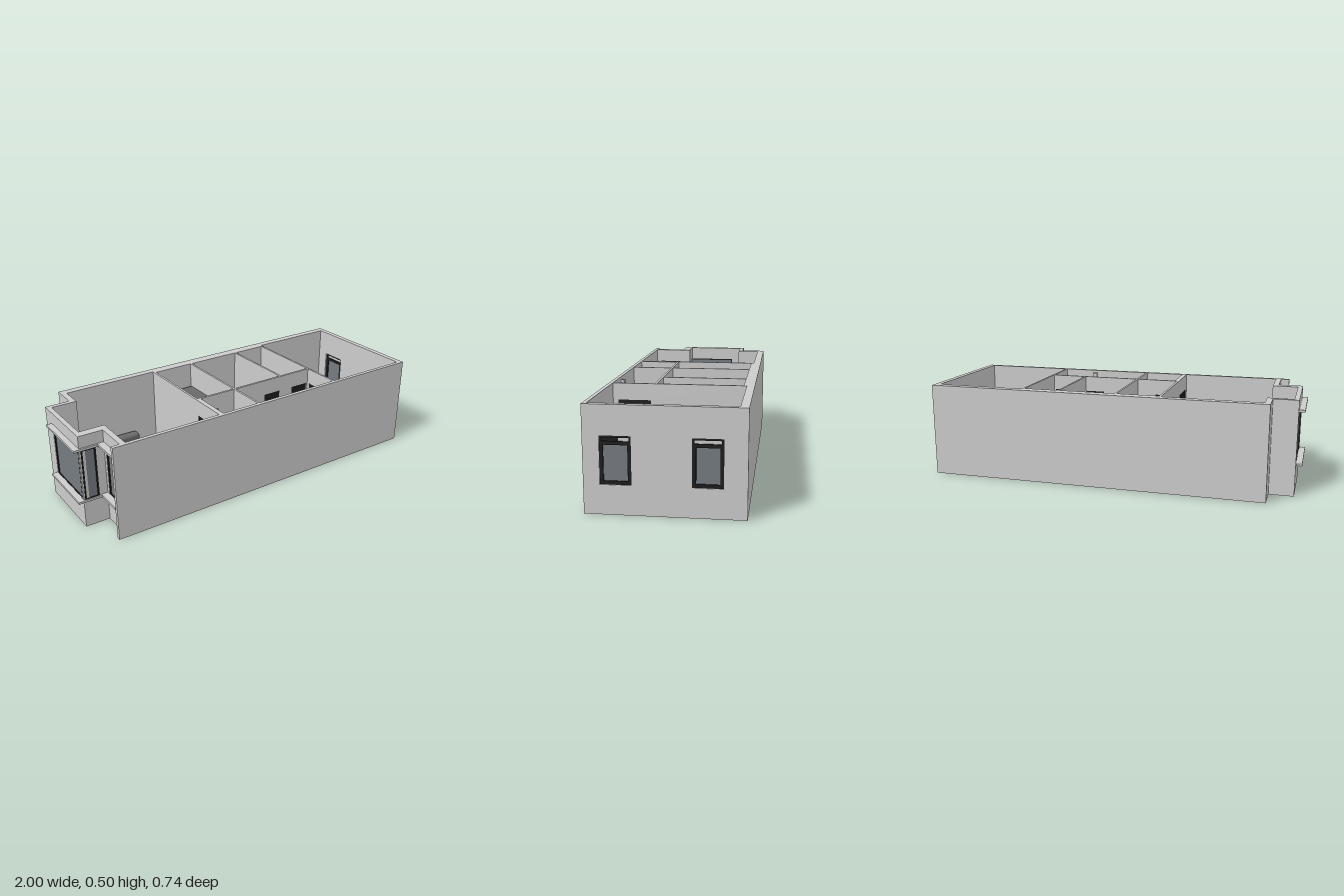
import * as THREE from 'three';
import { RoundedBoxGeometry } from 'three/addons/geometries/RoundedBoxGeometry.js';

const H = 0.505;
const mat = (color) => new THREE.MeshStandardMaterial({ color });
const WALL = mat(0xcccccc), DARK = mat(0x1c1c1c), GLASS = mat(0x757b80);
const FLOOR = mat(0xaaa298), FURN = mat(0x6a6a6a), PALE = mat(0xe6e6e6);

export function createModel() {
  const house = new THREE.Group();
  house.name = 'house';

  const add = (name, geo, material, parent = house) => {
    const m = new THREE.Mesh(geo, material);
    m.name = name;
    parent.add(m);
    return m;
  };

  // Box given by its limits on each axis
  const box = (name, material, [x0, x1], [y0, y1], [z0, z1], parent) => {
    const g = new THREE.BoxGeometry(x1 - x0, y1 - y0, z1 - z0);
    return add(name, g.translate((x0 + x1) / 2, (y0 + y1) / 2, (z0 + z1) / 2), material, parent);
  };

  // Box with softened edges
  const soft = (name, [x0, x1], [y0, y1], [z0, z1], r, parent) => {
    const g = new RoundedBoxGeometry(x1 - x0, y1 - y0, z1 - z0, 3, r);
    return add(name, g.translate((x0 + x1) / 2, (y0 + y1) / 2, (z0 + z1) / 2), FURN, parent);
  };

  // Upright panel along x or z with rectangular openings [u0, u1, y0, y1]
  const panel = (name, material, axis, [u0, u1], [y0, y1], [a0, a1], holes = [], parent) => {
    const rect = (P, a, b, c, d) => {
      const p = new P();
      p.moveTo(a, c); p.lineTo(b, c); p.lineTo(b, d); p.lineTo(a, d); p.closePath();
      return p;
    };
    const s = rect(THREE.Shape, u0, u1, y0, y1);
    for (const h of holes) s.holes.push(rect(THREE.Path, ...h));
    const g = new THREE.ExtrudeGeometry(s, { depth: a1 - a0, bevelEnabled: false });
    if (axis === 'x') g.translate(0, 0, a0);
    else g.rotateY(-Math.PI / 2).translate(a1, 0, 0);
    return add(name, g, material, parent);
  };
  const wall = (name, axis, u, a, holes) => panel(name, WALL, axis, u, [0, H], a, holes);

  // Framed window filling an opening; optional vent strip above the pane
  const windowUnit = (name, axis, [u0, u1, y0, y1], [a0, a1], vent) => {
    const g = new THREE.Group();
    g.name = name;
    house.add(g);
    const mid = (a0 + a1) / 2, f = vent ? 0.017 : 0.008;
    const top = vent ? y1 - 0.043 : y1 - f;
    const holes = [[u0 + f, u1 - f, y0 + f, top]];
    if (vent) holes.push([u0 + 0.01, u1 - 0.01, y1 - 0.026, y1 - 0.01]);
    panel('windowFrame', DARK, axis, [u0, u1], [y0, y1], [a0, a1], holes, g);
    panel('windowPane', GLASS, axis, [u0 + f, u1 - f], [y0 + f, top], [mid - 0.003, mid + 0.003], [], g);
    if (vent) {
      const split = vent === 'half' ? u0 + 0.058 : u1 - 0.01;
      const y = [y1 - 0.026, y1 - 0.01], a = [mid - 0.003, mid + 0.003];
      panel('ventStrip', PALE, axis, [u0 + 0.01, split], y, a, [], g);
      if (vent === 'half') panel('ventCover', DARK, axis, [split, u1 - 0.01], y, a, [], g);
    }
  };

  // Base slab and room floors
  box('baseSlab', WALL, [-0.84, 1], [0, 0.02], [-0.37, 0.365]);
  box('baySlab', WALL, [-0.97, -0.8], [0, 0.02], [-0.23, 0.17]);
  box('roomFloor', FLOOR, [-0.81, 0.97], [0.02, 0.024], [-0.33, 0.345]);

  // Outer walls
  const endWindows = [[0.145, 0.289, 0.14, 0.365], [-0.265, -0.125, 0.14, 0.365]];
  wall('frontWall', 'x', [-0.885, 1], [0.345, 0.365]);
  wall('backWall', 'x', [-0.84, 1], [-0.37, -0.33]);
  wall('backWallLining', 'x', [-0.285, 0.48], [-0.33, -0.315]);
  wall('endWall', 'z', [-0.37, 0.365], [0.97, 1], endWindows);
  windowUnit('endWindowFront', 'z', endWindows[0], [0.978, 0.996], 'half');
  windowUnit('endWindowBack', 'z', endWindows[1], [0.978, 0.996], 'full');

  // Bay with corner window
  const baySide = [-0.15, 0.155, 0.15, 0.43], bayFront = [-0.962, -0.885, 0.15, 0.43];
  const niche = [0.19, 0.32, 0.15, 0.43];
  wall('bayOuterWall', 'z', [-0.23, 0.17], [-0.97, -0.945], [baySide]);
  wall('bayBackWall', 'x', [-0.97, -0.81], [-0.23, -0.205]);
  wall('bayFrontWall', 'x', [-0.945, -0.81], [0.125, 0.17], [[-0.94, -0.885, 0.15, 0.43]]);
  windowUnit('bayOuterWindow', 'z', baySide, [-0.968, -0.95]);
  windowUnit('bayFrontWindow', 'x', bayFront, [0.155, 0.173]);
  wall('bayReturnBack', 'z', [-0.37, -0.205], [-0.84, -0.81]);
  wall('bayReturnFront', 'z', [0.125, 0.365], [-0.84, -0.81], [niche]);
  windowUnit('sideWindow', 'z', niche, [-0.838, -0.82]);
  for (const y of [0.15, 0.435]) {
    const r = [y - 0.006, y + 0.006];
    box('bayLedgeOuter', WALL, [-1, -0.968], r, [-0.16, 0.18]);
    box('bayLedgeFront', WALL, [-1, -0.84], r, [0.168, 0.18]);
    box('sideWindowLedge', WALL, [-0.875, -0.838], r, [0.18, 0.32]);
  }

  // Inner walls with door openings, each filled by a dark leaf
  const doorway = (name, axis, u, a, doors) => {
    wall(name, axis, u, a, doors.map(([d0, d1]) => [d0, d1, 0.024, 0.42]));
    for (const d of doors)
      panel('door', DARK, axis, d, [0.024, 0.42], [a[0] + 0.001, a[1] - 0.001]);
  };
  doorway('corridorWall', 'x', [-0.275, 0.475], [0.12, 0.132],
    [[-0.255, -0.15], [0.16, 0.265], [0.355, 0.46]]);
  wall('livingRoomWall', 'z', [-0.33, 0.132], [-0.286, -0.274]);
  doorway('hallEndWall', 'z', [0.132, 0.345], [-0.286, -0.26], [[0.15, 0.318]]);
  wall('kitchenWall', 'z', [-0.315, 0.345], [-0.046, -0.035]);
  wall('bathroomWall', 'z', [-0.315, 0.12], [0.27, 0.281]);
  doorway('bedroomWall', 'z', [-0.33, 0.345], [0.47, 0.481], [[0.15, 0.318]]);
  box('showerScreen', WALL, [0.1, 0.113], [0.024, 0.38], [-0.315, 0.05]);
  box('hallPier', WALL, [0.272, 0.298], [0.02, 0.49], [0.328, 0.345]);

  // Beds: base, mattress, headboard
  const sofaBed = new THREE.Group();
  sofaBed.name = 'sofaBed';
  house.add(sofaBed);
  soft('sofaBase', [-0.695, -0.425], [0.024, 0.07], [-0.32, -0.025], 0.008, sofaBed);
  soft('sofaCushion', [-0.7, -0.42], [0.065, 0.11], [-0.28, -0.02], 0.015, sofaBed);
  soft('sofaBack', [-0.7, -0.42], [0.024, 0.18], [-0.325, -0.27], 0.018, sofaBed);
  const bed = new THREE.Group();
  bed.name = 'bed';
  house.add(bed);
  soft('bedBase', [0.5, 0.795], [0.024, 0.07], [-0.135, 0.12], 0.008, bed);
  soft('mattress', [0.52, 0.8], [0.065, 0.11], [-0.14, 0.125], 0.015, bed);
  soft('headboard', [0.495, 0.53], [0.024, 0.18], [-0.14, 0.125], 0.012, bed);

  // Cabinets and bathroom pieces
  box('kitchenCabinet', FURN, [-0.12, -0.05], [0.024, 0.37], [-0.3, 0.05]);
  box('wardrobe', FURN, [0.285, 0.36], [0.024, 0.39], [-0.3, 0.05]);
  box('dresser', FURN, [0.885, 0.955], [0.024, 0.14], [-0.23, 0.215]);
  box('nightstand', FURN, [0.49, 0.56], [0.024, 0.14], [-0.32, -0.175]);
  box('washstand', FURN, [0.2, 0.265], [0.024, 0.18], [-0.13, 0.065]);
  soft('toiletBowl', [0.165, 0.26], [0.024, 0.1], [-0.245, -0.18], 0.02);
  box('toiletTank', FURN, [0.24, 0.269], [0.024, 0.17], [-0.243, -0.182]);

  // Small table turned in the bay
  const table = new THREE.Group();
  table.name = 'bayTable';
  table.position.set(-0.85, 0, -0.12);
  table.rotation.y = -0.53;
  house.add(table);
  box('tableBody', FURN, [-0.05, 0.05], [0.02, 0.14], [-0.037, 0.037], table);

  return house;
}
